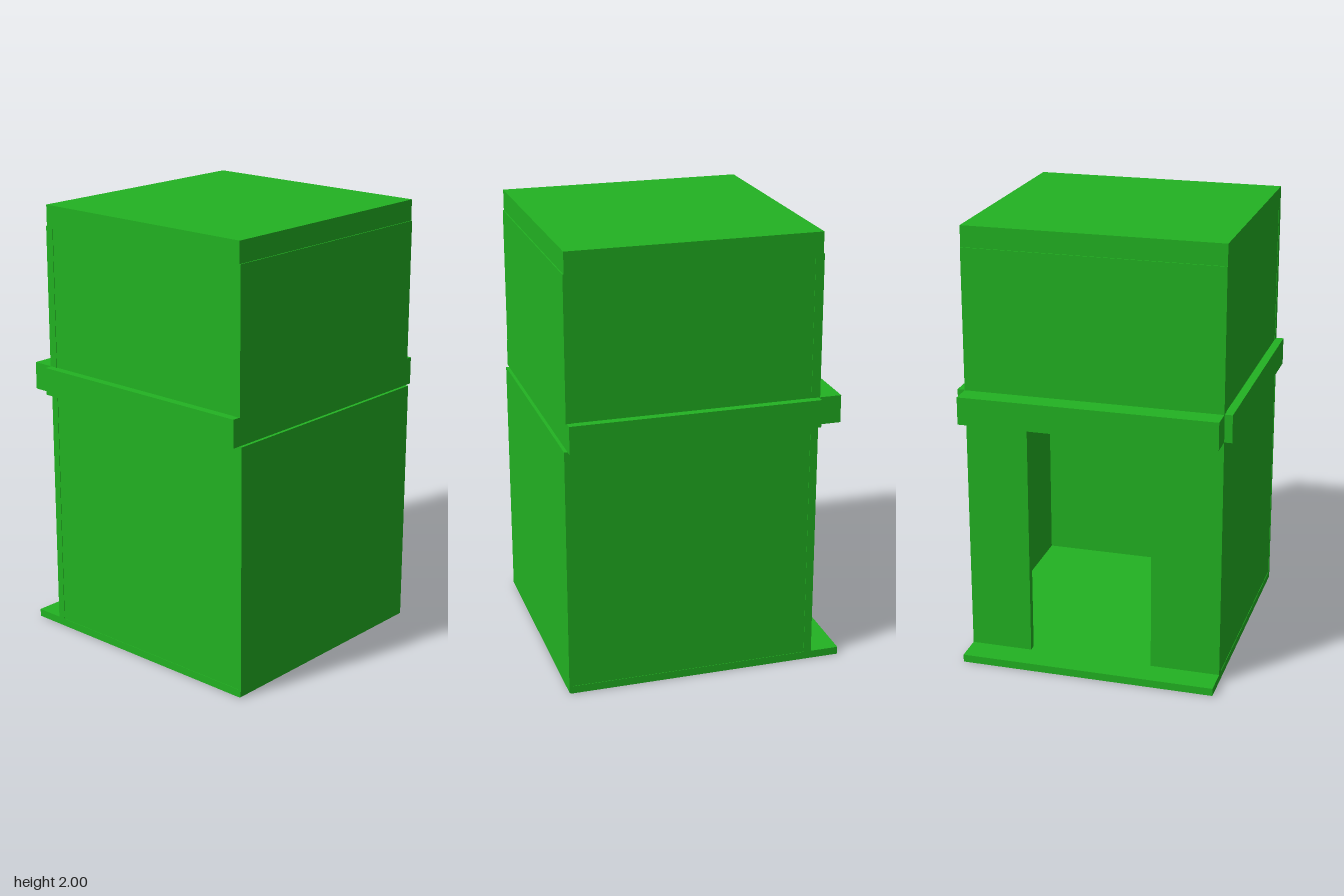
import * as THREE from 'three';

export function createModel() {
  const model = new THREE.Group();
  model.name = 'booth';
  const green = new THREE.MeshStandardMaterial({ color: 0x22b222 });
  green.name = 'green';

  // Box given by its minimum and maximum on each axis
  function box(name, [x0, x1], [y0, y1], [z0, z1]) {
    const mesh = new THREE.Mesh(new THREE.BoxGeometry(x1 - x0, y1 - y0, z1 - z0), green);
    mesh.position.set((x0 + x1) / 2, (y0 + y1) / 2, (z0 + z1) / 2);
    mesh.name = name;
    model.add(mesh);
  }
  // Span mirrored to the chosen side
  const span = (s, a, b) => (s > 0 ? [a, b] : [-b, -a]);

  const floor = 0.035, bandLow = 1.14, bandHigh = 1.265, roofLow = 1.905;

  // Floor slab, with a doorstep reaching out at the back
  box('floor', [-0.58, 0.58], [0, floor], [-0.63, 0.63]);

  // Hollow lower storey
  box('lowerFrontWall', [-0.58, 0.58], [0.005, bandLow], [0.62, 0.635]);
  for (const s of [1, -1]) {
    const side = s > 0 ? 'left' : 'right';
    box(side + 'LowerWall', span(s, 0.568, 0.578), [floor, bandLow], [-0.49, 0.62]);
    // Pillars beside the open doorway
    box(side + 'DoorPillar', span(s, s > 0 ? 0.3 : 0.265, 0.58), [floor, bandLow], [-0.5, -0.465]);
    // Side bands and upper side walls
    box(side + 'Band', span(s, 0.568, 0.615), [bandLow, bandHigh], [-0.5, 0.615]);
    box(side + 'UpperWall', span(s, 0.53, 0.578), [bandHigh, roofLow], [-0.5, 0.6]);
  }

  // Front band and canopy above the doorway
  box('frontBand', [-0.615, 0.615], [bandLow, bandHigh], [0.6, 0.62]);
  box('doorCanopy', [-0.58, 0.58], [bandLow, bandHigh], [-0.603, -0.5]);

  // Upper storey and roof
  box('upperFrontWall', [-0.58, 0.58], [bandHigh, roofLow], [0.59, 0.625]);
  box('upperBackWall', [-0.58, 0.58], [bandHigh, roofLow], [-0.505, -0.465]);
  box('roof', [-0.58, 0.58], [roofLow, 2], [-0.5, 0.62]);

  return model;
}
